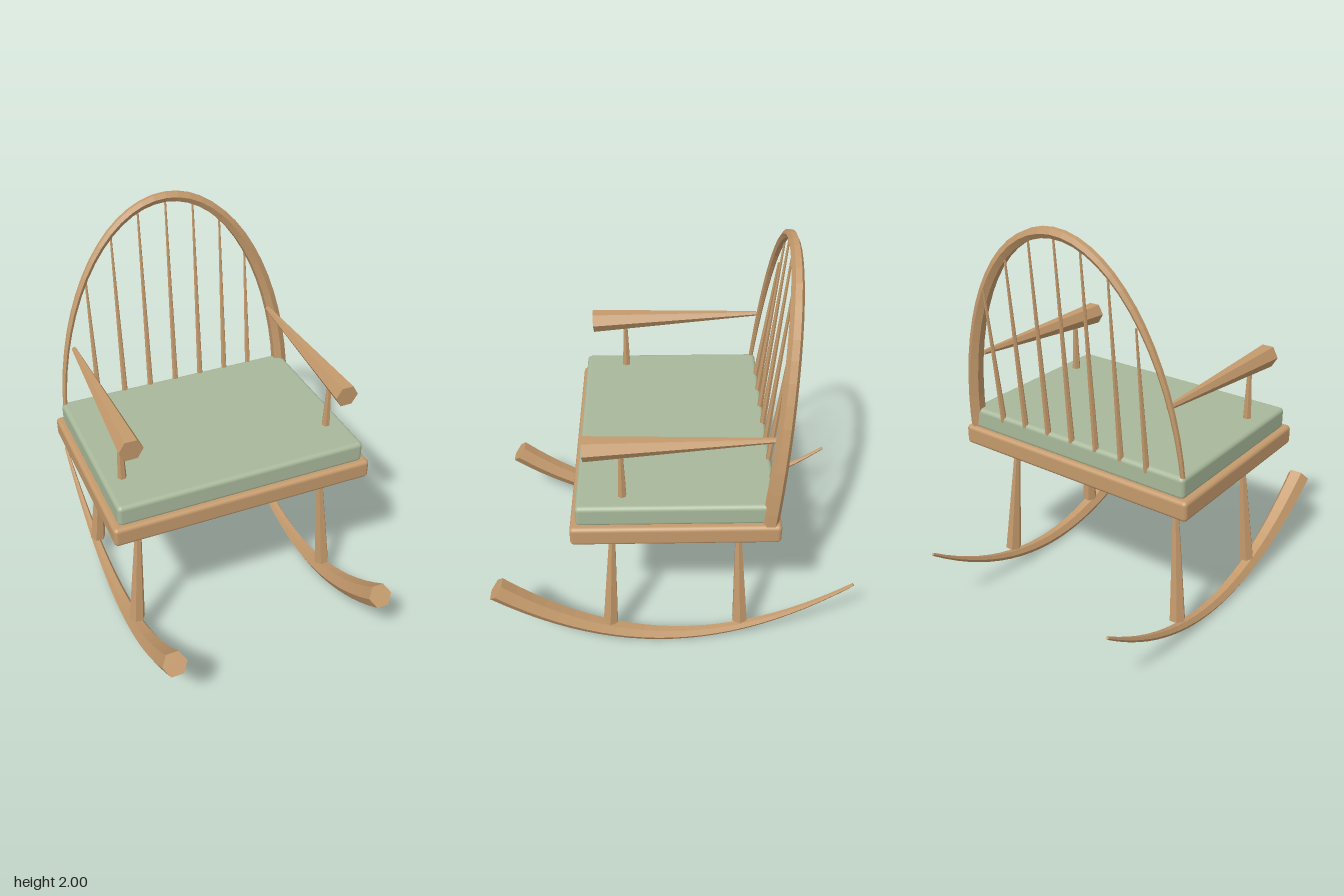
import * as THREE from 'three';
import { RoundedBoxGeometry } from 'three/addons/geometries/RoundedBoxGeometry.js';

const V = (x, y, z) => new THREE.Vector3(x, y, z);
const SIDES = 6;

// Tapered hexagonal rod through a list of centres; "side" fixes the roll of the section
function rodGeometry(centres, r0, r1, side) {
  const n = centres.length;
  const rings = centres.map((c, i) => {
    const t = centres[Math.min(i + 1, n - 1)].clone().sub(centres[Math.max(i - 1, 0)]).normalize();
    const s = side.clone().addScaledVector(t, -side.dot(t)).normalize();
    const u = t.clone().cross(s);
    const r = THREE.MathUtils.lerp(r0, r1, i / (n - 1));
    return Array.from({ length: SIDES }, (_, j) => {
      const a = (j / SIDES) * Math.PI * 2;
      return c.clone().addScaledVector(s, r * Math.cos(a)).addScaledVector(u, r * Math.sin(a));
    });
  });
  const pos = [];
  const tri = (...pts) => pts.forEach((p) => pos.push(p.x, p.y, p.z));
  for (let j = 0; j < SIDES; j++) {
    const k = (j + 1) % SIDES;
    for (let i = 0; i < n - 1; i++) {
      const a = rings[i], b = rings[i + 1];
      tri(a[j], a[k], b[k]);
      tri(a[j], b[k], b[j]);
    }
    tri(centres[0], rings[0][k], rings[0][j]);
    tri(centres[n - 1], rings[n - 1][j], rings[n - 1][k]);
  }
  const g = new THREE.BufferGeometry();
  g.setAttribute('position', new THREE.Float32BufferAttribute(pos, 3));
  g.computeVertexNormals(); // unshared corners keep the facets flat
  return g;
}

export function createModel() {
  const group = new THREE.Group();
  const wood = new THREE.MeshStandardMaterial({ color: 0xc49a6c });
  wood.name = 'wood';
  const fabric = new THREE.MeshStandardMaterial({ color: 0xa8b89a });
  fabric.name = 'sage fabric';

  const add = (name, geometry, material = wood) => {
    const mesh = new THREE.Mesh(geometry, material);
    mesh.name = name;
    mesh.position.x -= 0.003;
    group.add(mesh);
    return mesh;
  };
  const rod = (name, centres, r0, r1, side = V(1, 0, 0)) =>
    add(name, rodGeometry(centres, r0, r1, side));

  // Seat board and cushion
  add('seat', new RoundedBoxGeometry(1.324, 0.1, 0.97, 3, 0.02)).position.set(-0.003, 0.835, -0.012);
  add('cushion', new RoundedBoxGeometry(1.262, 0.11, 0.92, 3, 0.022), fabric).position.set(-0.003, 0.93, -0.014);

  // Bent back bow: a leaning half ellipse, thin on the right and thick on the left
  const baseY = 0.835, rise = 1.143, halfWidth = 0.62;
  const bowY = (x) => baseY + rise * Math.sqrt(1 - (x / halfWidth) ** 2);
  const bow = [];
  for (let i = 0; i <= 32; i++) {
    const a = Math.PI * (1 - i / 32), h = Math.sin(a);
    bow.push(V(halfWidth * Math.cos(a), baseY + rise * h, -0.44 - 0.103 * h));
  }
  rod('backBow', bow, 0.01, 0.041, V(0, 0.09, 1).normalize());

  // Back spindles
  for (let i = -3; i <= 3; i++) {
    const x = i * 0.143;
    rod('spindle', [V(x, 0.885, -0.453), V(x, bowY(x) - 0.01, -0.543)], 0.016, 0.005);
  }

  for (const s of [1, -1]) {
    const x = s * 0.538, side = s > 0 ? 'left' : 'right';

    // Rocker: shallow parabola tapering to the back
    const curve = new THREE.QuadraticBezierCurve3(
      V(x, 0.375, 0.872), V(x, -0.315, 0.012), V(x, 0.372, -0.897));
    rod(side + 'Rocker', curve.getPoints(24), 0.061, 0.008);

    // Splayed legs
    rod(side + 'FrontLeg', [V(s * 0.533, 0.13, 0.316), V(s * 0.485, 0.81, 0.284)], 0.041, 0.011);
    rod(side + 'BackLeg', [V(s * 0.533, 0.13, -0.342), V(s * 0.485, 0.81, -0.31)], 0.041, 0.011);

    // Armrest and its post
    rod(side + 'Armrest', [V(x, 1.256, 0.4), V(x, 1.294, -0.46)], 0.058, 0.012);
    rod(side + 'ArmPost', [V(x, 0.885, 0.232), V(x, 1.25, 0.232)], 0.026, 0.011);
  }
  return group;
}
